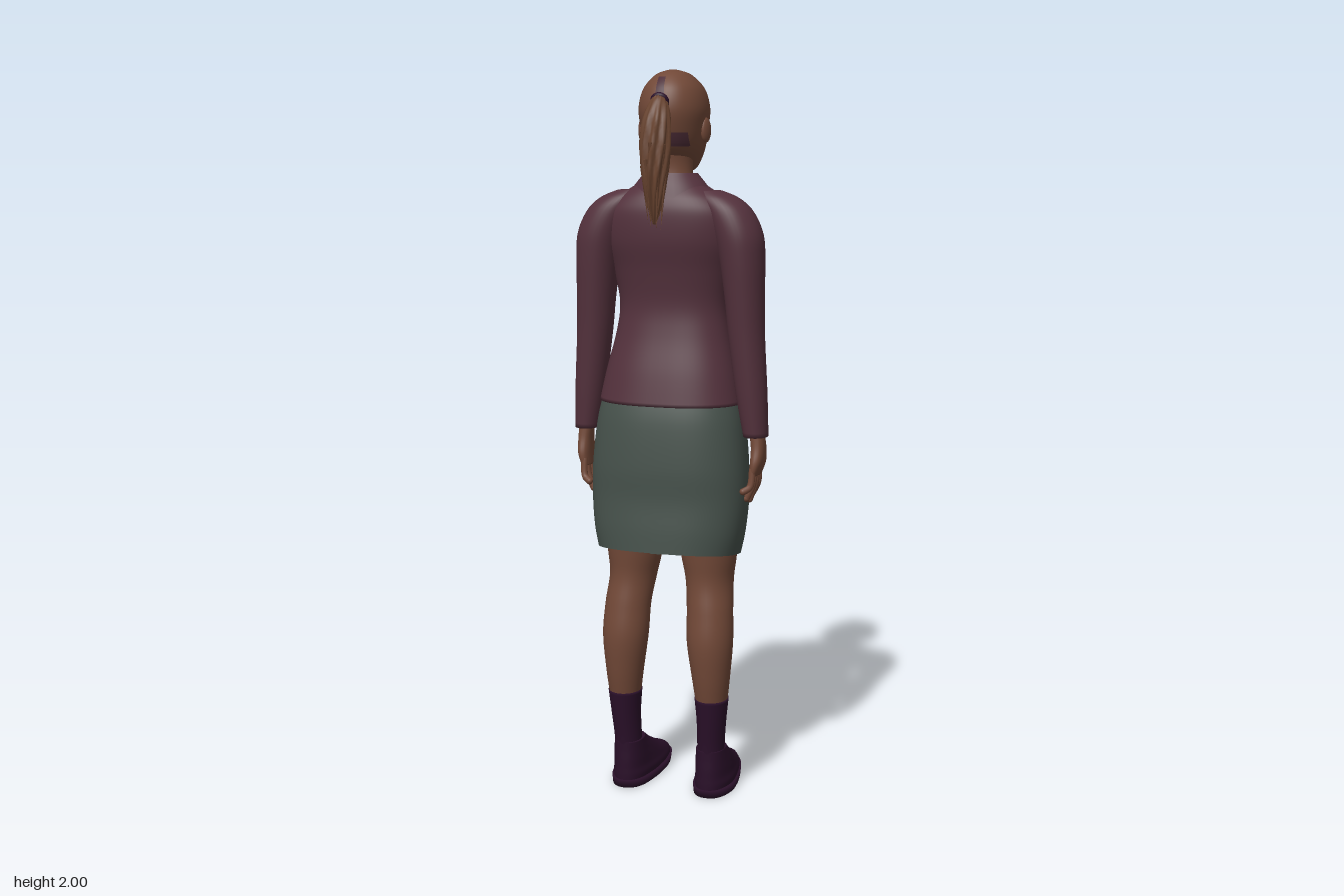
import * as THREE from 'three';

const mat = (name, color, side = THREE.FrontSide) => {
  const m = new THREE.MeshStandardMaterial({ color, side });
  m.name = name;
  return m;
};

// Smooth a list of rings [y, centreX, halfWidth, zFront, zBack] (bottom to top)
function smooth(rings, steps = 6) {
  const rows = [], n = rings.length, get = i => rings[Math.min(n - 1, Math.max(0, i))];
  for (let i = 0; i < n - 1; i++) for (let s = 0; s < steps; s++) {
    const t = s / steps, [a, b, c, d] = [get(i - 1), get(i), get(i + 1), get(i + 2)];
    rows.push(b.map((v, k) => v + 0.5 * t * (c[k] - a[k] + t * (2 * a[k] - 5 * v + 4 * c[k] - d[k]
      + t * (3 * (v - c[k]) + d[k] - a[k])))));
  }
  rows.push(rings[n - 1].slice());
  return rows;
}

function build(pos, idx) {
  const g = new THREE.BufferGeometry();
  g.setAttribute('position', new THREE.Float32BufferAttribute(pos, 3));
  g.setIndex(idx);
  g.computeVertexNormals();
  return g;
}

// Skin the rings with superellipse cross-sections; warp(p, angle) may move each vertex
function loft(rows, { e = 2, n = 36, cap = true, from = 0, to = Math.PI * 2, warp } = {}) {
  const pos = [], idx = [], closed = to - from > 6.28, cols = closed ? n : n + 1, p = new THREE.Vector3();
  const pw = v => Math.sign(v) * Math.abs(v) ** (2 / e);
  for (const [y, x, w, zf, zb] of rows) for (let j = 0; j < cols; j++) {
    const a = from + (to - from) * j / n;
    p.set(x + w * pw(Math.cos(a)), y, (zf + zb) / 2 + (zb - zf) / 2 * pw(Math.sin(a)));
    if (warp) warp(p, a);
    pos.push(p.x, p.y, p.z);
  }
  for (let i = 0; i < rows.length - 1; i++) for (let j = 0; j < n; j++) {
    const a = i * cols + j, b = i * cols + (j + 1) % cols;
    idx.push(a, a + cols, b, b, a + cols, b + cols);
  }
  if (cap) for (const top of [0, 1]) {
    const r = rows[top ? rows.length - 1 : 0], base = top ? (rows.length - 1) * cols : 0, c = pos.length / 3;
    pos.push(r[1], r[0], (r[3] + r[4]) / 2);
    for (let j = 0; j < n; j++) {
      const a = base + j, b = base + (j + 1) % cols;
      top ? idx.push(c, b, a) : idx.push(c, a, b);
    }
  }
  return build(pos, idx);
}

// Thin sheet lying on the front (dir -1) or back (dir 1) of a lofted body
function patch(rows, y0, y1, xl, xr, { dir = -1, off = 0.004, e = 2, warp } = {}) {
  const pos = [], idx = [], U = 10, V = 14, p = new THREE.Vector3();
  for (let i = 0; i <= V; i++) {
    const t = i / V, y = y0 + (y1 - y0) * t;
    let k = 0;
    while (k < rows.length - 2 && rows[k + 1][0] < y) k++;
    const f = (y - rows[k][0]) / (rows[k + 1][0] - rows[k][0]);
    const [, cx, w, zf, zb] = rows[k].map((v, q) => v + (rows[k + 1][q] - v) * f);
    for (let j = 0; j <= U; j++) {
      const x = xl(t) + (xr(t) - xl(t)) * j / U, s = Math.min(0.97, Math.abs((x - cx) / w));
      p.set(x, y, (zf + zb) / 2 + dir * (zb - zf) / 2 * (1 - s ** e) ** (1 / e));
      if (warp) warp(p);
      pos.push(p.x, p.y, p.z + dir * off);
      if (i < V && j < U) {
        const a = i * (U + 1) + j, b = a + U + 1;
        idx.push(a, b, a + 1, a + 1, b, b + 1);
      }
    }
  }
  return build(pos, idx);
}

export function createModel() {
  const root = new THREE.Group();
  const skin = mat('skin', 0x714837), hair = mat('hair', 0x68432f);
  const jacket = mat('jacket', 0x53313c, THREE.DoubleSide), skirt = mat('skirt', 0x46514b, THREE.DoubleSide);
  const dark = mat('sockAndShoe', 0x2a1029), scalp = mat('hairline', 0x4c2c36, THREE.DoubleSide);
  const chestSkin = mat('sheetSkin', 0x714837, THREE.DoubleSide);
  const eyeDark = mat('eyeDark', 0x2b1a18, THREE.DoubleSide), lip = mat('lip', 0x61332d, THREE.DoubleSide);
  const add = (name, geo, m, parent = root) => {
    const o = new THREE.Mesh(geo, m);
    o.name = name;
    parent.add(o);
    return o;
  };
  const ball = (name, m, at, size, parent = root) => {
    const o = add(name, new THREE.SphereGeometry(1, 20, 14), m, parent);
    o.position.set(...at);
    o.scale.set(...size);
    return o;
  };

  // Jacket body with a bust swell
  const torso = smooth([[1.115, 0, 0.2, -0.128, 0.152], [1.2, 0, 0.183, -0.122, 0.132], [1.3, 0, 0.16, -0.117, 0.104],
    [1.38, 0, 0.152, -0.117, 0.092], [1.47, 0, 0.168, -0.122, 0.102], [1.55, 0, 0.188, -0.106, 0.117],
    [1.62, 0, 0.185, -0.076, 0.118], [1.66, 0, 0.155, -0.055, 0.108], [1.69, 0, 0.11, -0.04, 0.09],
    [1.71, 0, 0.075, -0.03, 0.075]]);
  const bust = p => {
    if (p.z < 0) p.z -= 0.024 * Math.exp(-(((Math.abs(p.x) - 0.085) / 0.05) ** 2) - ((p.y - 1.465) / 0.055) ** 2);
  };
  add('jacketBody', loft(torso, { e: 2.4, n: 64, warp: bust }), jacket);
  const onChest = { e: 2.4, warp: bust };
  add('neckOpening', patch(torso, 1.5, 1.705, t => -0.042 * t, t => 0.042 * t, onChest), chestSkin);
  add('frontSeam', patch(torso, 1.12, 1.5, () => -0.003, () => 0.003, onChest), scalp);
  for (const s of [1, -1]) {
    add('lapel', patch(torso, 1.5, 1.7, t => s * 0.042 * t, t => s * (0.042 * t + 0.03 * Math.sin(Math.PI * t) + 0.008),
      { ...onChest, off: 0.009 }), jacket);
  }
  add('collar', loft(smooth([[1.665, 0, 0.125, -0.06, 0.108], [1.7, 0, 0.098, -0.045, 0.094], [1.73, 0, 0.073, -0.03, 0.077]]),
    { cap: false, from: -Math.PI * 0.36, to: Math.PI * 1.36, warp: p => { p.y += 0.12 * Math.min(0, p.z); } }), jacket);

  // Skirt, its hem raised at the back
  const skirtRows = smooth([[0.695, 0, 0.198, -0.108, 0.18], [0.76, 0, 0.211, -0.11, 0.176], [0.85, 0, 0.219, -0.114, 0.168],
    [0.95, 0, 0.217, -0.118, 0.168], [1.07, 0, 0.204, -0.118, 0.156], [1.15, 0, 0.185, -0.112, 0.135]]);
  const hem = p => { p.y += 0.14 * p.z * Math.max(0, 1 - (p.y - 0.695) / 0.25); };
  add('skirt', loft(skirtRows, { e: 2.4, n: 56, cap: false, warp: hem }), skirt);
  add('skirtVent', patch(skirtRows, 0.695, 0.8, () => -0.005, () => 0.024, { e: 2.4, dir: 1, warp: hem }), skirt);

  // Neck and head
  add('neck', loft(smooth([[1.64, 0, 0.07, -0.035, 0.075], [1.71, 0, 0.056, -0.042, 0.058], [1.76, 0, 0.053, -0.05, 0.055],
    [1.83, 0, 0.055, -0.05, 0.07]])), skin);
  const head = smooth([[1.732, 0, 0.022, -0.1, -0.045], [1.742, 0, 0.042, -0.112, -0.005], [1.768, 0, 0.062, -0.117, 0.045],
    [1.8, 0, 0.077, -0.117, 0.08], [1.85, 0, 0.087, -0.117, 0.1], [1.9, 0, 0.092, -0.119, 0.107],
    [1.95, 0, 0.079, -0.101, 0.093], [1.985, 0, 0.048, -0.06, 0.06], [1.997, 0, 0.02, -0.022, 0.03], [2, 0, 0.004, 0, 0.008]]);
  add('head', loft(head, { e: 2.15, n: 48 }), skin);
  add('nose', loft(smooth([[1.812, 0, 0.008, -0.122, -0.1], [1.822, 0, 0.017, -0.139, -0.1], [1.845, 0, 0.011, -0.131, -0.1],
    [1.878, 0, 0.008, -0.118, -0.1]]), { n: 16 }), skin);
  const face = { e: 2.15, off: 0.003 };
  add('mouth', patch(head, 1.782, 1.796, t => -0.025 * Math.sin(0.3 + 2.4 * t), t => 0.025 * Math.sin(0.3 + 2.4 * t), face), lip);
  for (const s of [1, -1]) {
    add('eye', patch(head, 1.858, 1.87, t => s * (0.036 - 0.015 * Math.sin(Math.PI * t)),
      t => s * (0.036 + 0.015 * Math.sin(Math.PI * t)), face), eyeDark);
    add('eyebrow', patch(head, 1.886, 1.893, () => s * 0.018, () => s * 0.056, face), eyeDark);
    ball('ear', skin, [s * 0.09, 1.842, 0], [0.01, 0.033, 0.02]).rotation.y = -s * 0.3;
  }

  // Hairline patches and ponytail
  add('frontHairline', patch(head, 1.93, 1.972, t => -0.066 + 0.012 * t, t => 0.056 - 0.006 * t,
    { e: 2.15, off: 0.006 }), scalp);
  add('parting', patch(head, 1.9, 1.98, t => -0.014 - 0.004 * t, t => 0.012 - 0.01 * t, { dir: 1, e: 2.15, off: 0.005 }), scalp);
  add('nape', patch(head, 1.8, 1.835, () => -0.062, () => 0.062, { dir: 1, e: 2.15, off: 0.003 }), scalp);
  add('ponytail', loft(smooth([[1.6, 0, 0.004, 0.152, 0.16], [1.65, 0, 0.018, 0.132, 0.178], [1.72, 0, 0.03, 0.118, 0.192],
    [1.8, 0, 0.038, 0.11, 0.188], [1.87, 0, 0.034, 0.11, 0.172], [1.915, 0, 0.022, 0.105, 0.146], [1.932, 0, 0.01, 0.11, 0.13]]),
    { n: 40, warp: (p, a) => {
      const r = 1 + 0.12 * Math.sin(a * 9 + p.y * 25);
      p.x *= r;
      p.z = 0.145 + (p.z - 0.145) * r;
    } }), hair);
  for (let i = 0; i < 12; i++) {
    const a = i / 12 * Math.PI * 2, lock = add('hairLock', new THREE.ConeGeometry(0.007, 0.15, 6), hair);
    lock.position.set(0.025 * Math.cos(a), 1.7 + 0.045 * Math.sin(i * 2.4), 0.153 + 0.028 * Math.sin(a));
    lock.rotation.set(Math.PI + 0.08 * Math.sin(a), 0, 0.1 * Math.cos(a));
  }
  const tie = add('hairTie', new THREE.TorusGeometry(0.017, 0.009, 10, 20), dark);
  tie.position.set(0, 1.915, 0.115);
  tie.rotation.x = 0.5;

  // Arms, hands, legs and feet, mirrored across x
  const sleeve = loft(smooth([[1.03, 0.243, 0.033, -0.015, 0.07], [1.15, 0.231, 0.042, -0.016, 0.08], [1.3, 0.217, 0.048, -0.022, 0.09],
    [1.4, 0.211, 0.052, -0.028, 0.098], [1.5, 0.204, 0.059, -0.037, 0.106], [1.57, 0.192, 0.066, -0.038, 0.108],
    [1.63, 0.165, 0.066, -0.03, 0.1], [1.665, 0.135, 0.058, -0.015, 0.085], [1.685, 0.11, 0.035, 0.005, 0.065]]), { e: 2.1 });
  const palm = loft(smooth([[0.925, 0.242, 0.013, -0.018, 0.068], [0.96, 0.249, 0.018, -0.02, 0.068], [1, 0.25, 0.019, -0.008, 0.056],
    [1.045, 0.245, 0.02, 0.005, 0.05]]), { e: 2.4, n: 24 });
  const fingers = [[-0.009, -0.02, 0.855], [0.014, 0.012, 0.842], [0.037, 0.042, 0.85], [0.058, 0.075, 0.875]];
  const leg = loft(smooth([[0.27, 0.128, 0.043, -0.002, 0.1], [0.35, 0.127, 0.053, -0.007, 0.114], [0.45, 0.124, 0.064, -0.014, 0.122],
    [0.54, 0.12, 0.064, -0.026, 0.11], [0.62, 0.112, 0.066, -0.058, 0.096], [0.7, 0.108, 0.078, -0.07, 0.1],
    [0.85, 0.105, 0.088, -0.08, 0.11]]));
  const sock = loft(smooth([[0.08, 0.122, 0.038, -0.015, 0.08], [0.15, 0.124, 0.038, -0.006, 0.086], [0.22, 0.127, 0.041, -0.003, 0.096],
    [0.285, 0.128, 0.047, -0.006, 0.105]]));
  const toeIn = p => {
    const t = Math.max(0, -p.z) / 0.19;
    p.x -= 0.02 * t;
    if (p.y < 0.03) p.y += 0.012 * t * t;
  };
  const shoe = loft(smooth([[0.012, 0.122, 0.054, -0.186, 0.084], [0.035, 0.122, 0.058, -0.19, 0.085], [0.055, 0.122, 0.054, -0.172, 0.085],
    [0.08, 0.122, 0.05, -0.115, 0.085], [0.108, 0.122, 0.045, -0.062, 0.084], [0.135, 0.122, 0.04, -0.022, 0.084]]), { e: 2.3, warp: toeIn });
  const sole = loft([[0, 0.122, 0.06, -0.188, 0.086], [0.022, 0.122, 0.062, -0.194, 0.088]], { e: 2.4, warp: toeIn });

  for (const s of [1, -1]) {
    const side = new THREE.Group();
    side.name = s > 0 ? 'leftLimbs' : 'rightLimbs';
    side.scale.x = s;
    root.add(side);
    add('sleeve', sleeve, jacket, side);
    add('palm', palm, skin, side);
    add('leg', leg, skin, side);
    add('sock', sock, dark, side);
    add('shoe', shoe, dark, side);
    add('sole', sole, dark, side);
    const digit = (name, pts, r) => {
      const curve = new THREE.CatmullRomCurve3(pts.map(q => new THREE.Vector3(...q)));
      add(name, new THREE.TubeGeometry(curve, 8, r, 10), skin, side);
      ball(name + 'Tip', skin, pts[2], [r, r, r], side);
    };
    for (const [z0, z1, tip] of fingers)
      digit('finger', [[0.243, 0.945, z0], [0.238, 0.895, (z0 + z1) / 2], [0.222, tip + 0.009, z1]], 0.0095);
    digit('thumb', [[0.244, 0.985, -0.002], [0.234, 0.945, -0.032], [0.224, 0.905, -0.046]], 0.011);
  }
  return root;
}
